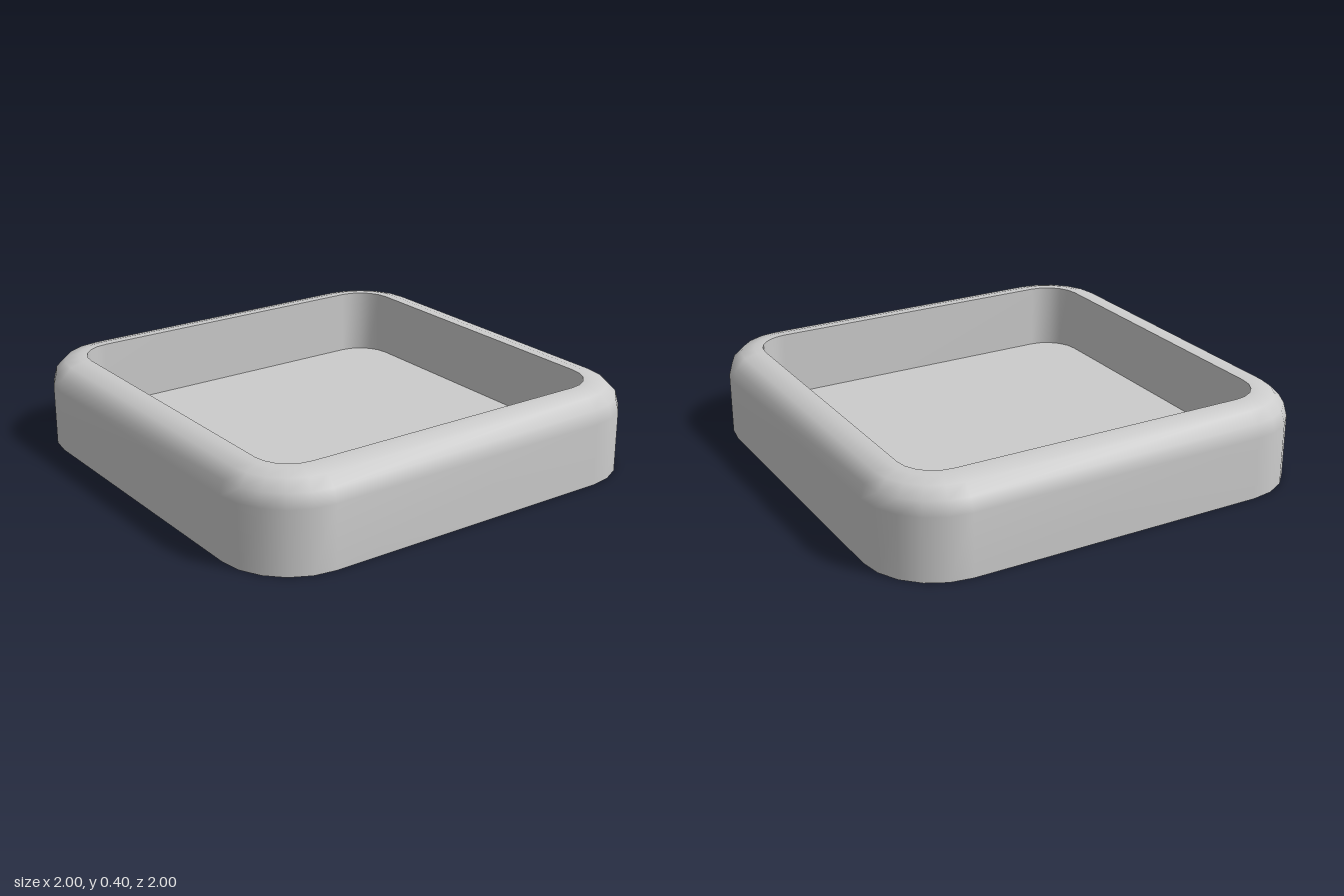
import * as THREE from 'three';

const CORNER = 0.68; // distance of the corner arc centres from the axes
const STEPS = 5;     // segments per rounded corner

// Rounded-square ring of the given half width at height y; half width 0 is the centre point
function ring(half, y) {
  const points = [];
  for (let q = 0; q < 4; q++) {
    const mid = (q + 0.5) * Math.PI / 2;
    const cx = Math.sign(Math.cos(mid)) * CORNER;
    const cz = Math.sign(Math.sin(mid)) * CORNER;
    for (let s = 0; s <= STEPS; s++) {
      const a = (q + s / STEPS) * Math.PI / 2;
      const r = half - CORNER;
      points.push(half === 0 ? [0, y, 0] : [cx + r * Math.cos(a), y, cz + r * Math.sin(a)]);
    }
  }
  return points;
}

// Smooth surface through a profile of [half width, height] pairs
function loft(name, profile, material) {
  const n = 4 * (STEPS + 1);
  const index = [];
  for (let j = 0; j < profile.length - 1; j++) {
    for (let i = 0; i < n; i++) {
      const next = (i + 1) % n;
      const a = j * n + i, b = j * n + next;
      if (profile[j + 1][0] > 0) index.push(b, a + n, b + n);
      if (profile[j][0] > 0) index.push(a, a + n, b);
    }
  }
  const geometry = new THREE.BufferGeometry();
  const positions = profile.flatMap(([half, y]) => ring(half, y)).flat();
  geometry.setAttribute('position', new THREE.Float32BufferAttribute(positions, 3));
  geometry.setIndex(index);
  geometry.computeVertexNormals();
  const mesh = new THREE.Mesh(geometry, material);
  mesh.name = name;
  return mesh;
}

export function createModel() {
  const group = new THREE.Group();
  group.name = 'tray';
  const material = new THREE.MeshStandardMaterial({ color: 0xcccccc });
  const height = 0.4, floorY = 0.1, inner = 0.84, bevel = 0.12;

  // Outer wall, rounded over into the flat rim
  const shell = [[1, 0]];
  for (let k = 0; k <= 3; k++) {
    const a = k / 3 * Math.PI / 2;
    shell.push([1 - bevel + bevel * Math.cos(a), height - bevel + bevel * Math.sin(a)]);
  }
  shell.push([inner, height]);

  group.add(
    loft('outerWallAndRim', shell, material),
    loft('innerWall', [[inner, height], [inner, floorY]], material),
    loft('trayFloor', [[inner, floorY], [0, floorY]], material),
    loft('underside', [[0, 0], [1, 0]], material),
  );
  return group;
}
